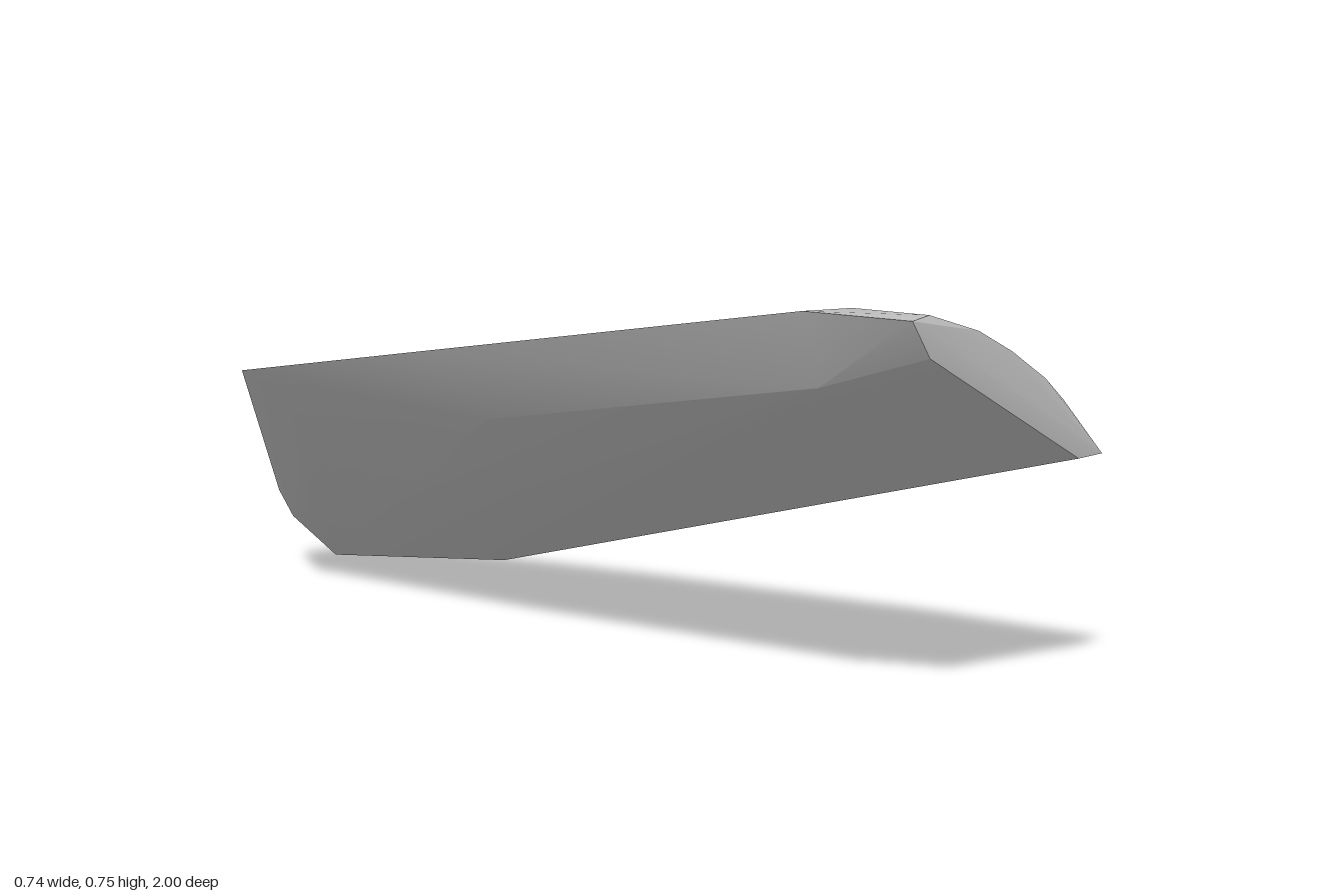
import * as THREE from 'three';
import { ConvexGeometry } from 'three/addons/geometries/ConvexGeometry.js';
import { toCreasedNormals } from 'three/addons/utils/BufferGeometryUtils.js';

const toPoints = (rows) => rows.map((r) => new THREE.Vector3(...r));

export function createModel() {
  const group = new THREE.Group();
  group.name = 'bevelledSlab';
  const stone = new THREE.MeshStandardMaterial({ color: 0xc0c0c0 });
  stone.name = 'lightGrey';

  // arched top edge at the front, from the right rim to the left
  const frontCrest = [
    [-0.315, 0.738, 1], [-0.235, 0.741, 0.98], [-0.08, 0.702, 0.98],
    [0.03, 0.657, 0.98], [0.15, 0.597, 0.978], [0.22, 0.55, 0.976], [0.28, 0.5, 0.975],
  ];
  // lower edge of the thin front face
  const frontLip = [[-0.26, 0.67, 1], [0.24, 0.44, 1], [0.325, 0.44, 1]];
  // crown of the top and its sloping rear edge
  const crown = [
    [-0.355, 0.745, 0.8], [-0.235, 0.743, 0.82], [-0.08, 0.7, 0.82],
    [0.31, 0.435, 0.6], [0.32, 0.27, -0.15], [0.29, 0.19, -0.6],
  ];
  const rearCrest = [
    [-0.345, 0.52, -0.69], [-0.22, 0.495, -0.71], [-0.08, 0.44, -0.755],
    [0.03, 0.36, -0.83], [0.15, 0.225, -0.965],
  ];
  // small face at the back end
  const backFace = [
    [0.25, 0.14, -0.967], [0.3, 0.038, -0.97], [0.18, 0, -0.985],
    [0.13, 0.1, -1], [0.06, 0.11, -1], [0.01, 0.18, -0.99],
  ];
  // side rims and the bevels below them
  const rightRim = [[0.37, 0.16, -0.12], [0.37, 0.065, -0.52]];
  const rightBevel = [[0.26, 0.13, -0.18], [0.262, 0.04, -0.5]];
  const leftRim = [[-0.37, 0.605, -0.13]];
  const leftBevel = [[-0.29, 0.605, 0.79], [-0.275, 0.47, -0.03], [-0.245, 0.395, -0.6]];

  const points = toPoints([
    ...frontCrest, ...frontLip, ...crown, ...rearCrest, ...backFace,
    ...rightRim, ...rightBevel, ...leftRim, ...leftBevel,
  ]);

  // skin around all edges, rounded on top and sharp at the bevels
  const slab = new THREE.Mesh(toCreasedNormals(new ConvexGeometry(points), 0.35), stone);
  slab.name = 'slab';
  group.add(slab);
  return group;
}
